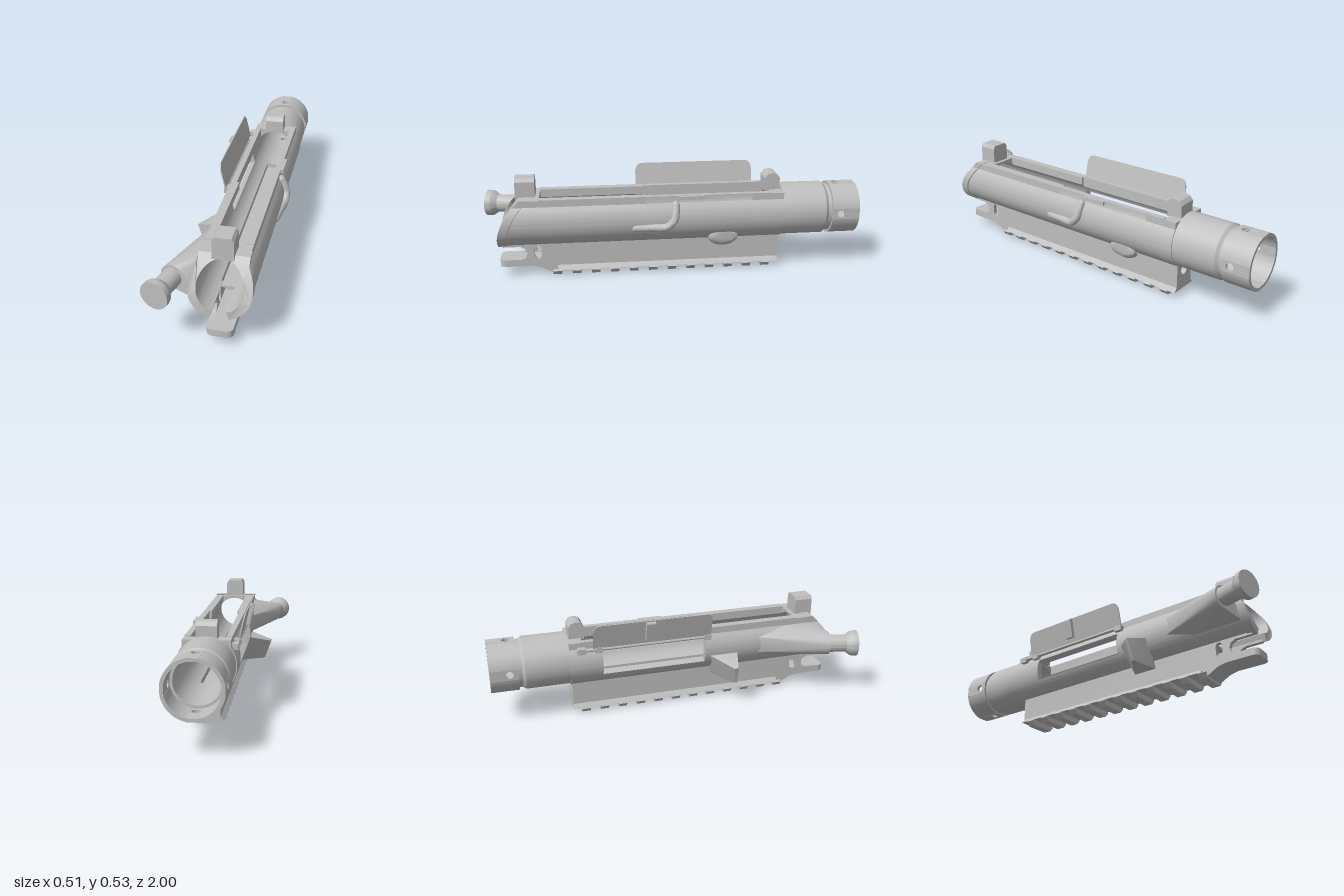
import * as THREE from 'three';
import { toCreasedNormals } from 'three/addons/utils/BufferGeometryUtils.js';
import { ConvexGeometry } from 'three/addons/geometries/ConvexGeometry.js';

const CX = 0.08, CY = 0.305;   // bore axis
const R = 0.145, r = 0.11;     // body outer and bore radius
const A = 0.653, C = 0.372;    // flange and floor groove angles
const PI = Math.PI;

const v = (x, y, z) => new THREE.Vector3(x, y, z);
const poly = (pts) => new THREE.Shape(pts.map(([x, y]) => new THREE.Vector2(x, y)));

// Extrude along z between two stations
function alongZ(shape, z0, z1) {
  const g = new THREE.ExtrudeGeometry(shape, { depth: z1 - z0, bevelEnabled: false, curveSegments: 32 });
  return g.translate(0, 0, z0);
}
// Extrude a (z, y) side profile across x
function acrossX(shape, x0, x1) {
  const g = new THREE.ExtrudeGeometry(shape, { depth: x1 - x0, bevelEnabled: false, curveSegments: 10 });
  return g.rotateY(-PI / 2).translate(x1, 0, 0);
}
// Lathe turned to lie along z
function latheZ(pts) {
  return new THREE.LatheGeometry(pts.map(([x, y]) => new THREE.Vector2(x, y)), 48).rotateX(PI / 2);
}
// Full ring with a flat top
function closedSection() {
  const s = poly([[0.115, 0.122], [-0.115, 0.122]]);
  s.absarc(0, 0, R, PI - A, 2 * PI + A, false);
  const h = new THREE.Path();
  h.absarc(0, 0, r, 0, 2 * PI, true);
  s.holes.push(h);
  return s;
}
// Flat-topped ring with a gap at the bottom
function gapSection(outer, top, half) {
  const a = Math.acos(half / outer), g = 0.3;
  const s = new THREE.Shape();
  s.absarc(0, 0, outer, g - PI / 2, a, false);
  s.lineTo(half, top);
  s.lineTo(-half, top);
  s.absarc(0, 0, outer, PI - a, 1.5 * PI - g, false);
  s.absarc(0, 0, r, 1.5 * PI - g, g - PI / 2, true);
  return s;
}
// Ring open at the top with a floor groove, optionally stopping below the side port
function openSection(half, port) {
  const b = Math.acos(half / r);
  const end = port ? PI + 0.45 : PI - A;
  const s = new THREE.Shape();
  s.moveTo(half, 0.125);
  s.lineTo(0.115, 0.125);
  s.absarc(0, 0, R, A, end, true);
  if (!port) {
    s.lineTo(-0.115, 0.125);
    s.lineTo(-half, 0.125);
  }
  s.absarc(0, 0, r, port ? end : PI - b, 1.5 * PI - C, false);
  s.lineTo(-0.04, -0.132);
  s.lineTo(0.04, -0.132);
  s.absarc(0, 0, r, 1.5 * PI + C, 2 * PI + b, false);
  return s;
}
// Slope the front end back towards the top
function slopeFront(g, zMin) {
  const p = g.attributes.position;
  for (let i = 0; i < p.count; i++) {
    const t = Math.max(0, (p.getY(i) + 0.105) / 0.23);
    if (p.getZ(i) > zMin) p.setZ(i, p.getZ(i) - 0.12 * t * t);
  }
  return g;
}

export function createModel() {
  const model = new THREE.Group();
  const metal = new THREE.MeshStandardMaterial({ color: 0xbebebe });
  metal.name = 'grey metal';
  const add = (name, geo, parent = model) => {
    const m = new THREE.Mesh(toCreasedNormals(geo, 0.6), metal);
    m.name = name;
    parent.add(m);
    return m;
  };

  // Tubular body around the bore
  const body = new THREE.Group();
  body.name = 'body';
  body.position.set(CX, CY, 0);
  model.add(body);
  add('rearBody', alongZ(closedSection(), -0.59, -0.52), body);
  add('openBodyRear', alongZ(openSection(0.085, false), -0.52, -0.42), body);
  add('openBodyPort', alongZ(openSection(0.085, true), -0.42, 0.14), body);
  add('openBodyFront', alongZ(openSection(0.072, false), 0.14, 0.68), body);
  add('frontBody', slopeFront(alongZ(gapSection(R, 0.122, 0.115), 0.68, 0.88), 0.8), body);
  add('frontRim', slopeFront(alongZ(gapSection(0.15, 0.125, 0.12), 0.855, 0.9), 0), body);
  const upper = new THREE.Shape();
  upper.moveTo(-0.085, 0.125);
  upper.lineTo(-0.115, 0.125);
  upper.absarc(0, 0, R, PI - A, PI - 0.4, false);
  upper.absarc(0, 0, r, PI - 0.4, PI - Math.acos(0.085 / r), true);
  add('portUpperEdge', alongZ(upper, -0.42, 0.14), body);

  // Round collar at the back with a groove and four drilled holes
  add('collar', latheZ([[r, -0.86], [0.127, -0.86], [0.127, -0.835], [0.14, -0.82],
    [0.14, -0.59], [r, -0.59], [r, -0.86]]), body);
  const w = PI / 15;
  for (let i = 0; i < 4; i++) {
    const arc = new THREE.Shape();
    arc.absarc(0, 0, 0.14, w, PI / 2 - w, false);
    arc.absarc(0, 0, 0.123, PI / 2 - w, w, true);
    add('collarRing', alongZ(arc, -1, -0.855), body).rotation.z = i * PI / 2;
    const hw = 0.14 * Math.sin(w);
    const plate = poly([[-1, -hw], [-0.855, -hw], [-0.855, hw], [-1, hw]]);
    const hole = new THREE.Path();
    hole.absarc(-0.9, 0, 0.02, 0, 2 * PI, true);
    plate.holes.push(hole);
    add('collarHolePlate', acrossX(plate, 0.122, 0.138), body).rotation.z = i * PI / 2;
  }

  // Keel under the body, with a long round channel
  const keel = poly([[0.015, 0.04], [0.142, 0.04], [0.142, 0.185], [0.12, 0.168], [0.04, 0.168], [0.015, 0.185]]);
  const channel = new THREE.Path();
  channel.absarc(CX, 0.133, 0.027, 0, 2 * PI, true);
  keel.holes.push(channel);
  add('keel', alongZ(keel, -0.58, 0.6));

  // Forked arm below the front opening, with a rounded tip
  const slope = [[0.59, 0.002], [0.615, 0.004], [0.64, 0.018], [0.69, 0.045], [0.73, 0.053], [0.87, 0.053], [0.87, 0.09]];
  const wall = poly([...slope, [0.79, 0.09], [0.765, 0.1], [0.755, 0.125], [0.765, 0.15], [0.79, 0.162],
    [0.88, 0.162], [0.88, 0.18], [0.59, 0.18]]);
  const slot = new THREE.Path();
  slot.absarc(0.7, 0.15, 0.018, 0, PI, false);
  slot.absarc(0.7, 0.112, 0.018, PI, 2 * PI, false);
  slot.closePath();
  wall.holes.push(slot);
  add('armWallRight', acrossX(wall, 0.015, 0.037));
  add('armWallLeft', acrossX(wall, 0.12, 0.142));
  add('armFloor', acrossX(poly([...slope, [0.59, 0.09]]), 0.037, 0.12));
  const tip = poly([[0.015, 0.87], [0.142, 0.87]]);
  tip.absarc(0.112, 0.87, 0.03, 0, PI / 2, false);
  tip.absarc(0.045, 0.87, 0.03, PI / 2, PI, false);
  add('armTip', alongZ(tip, 0, 0.037).rotateX(PI / 2).translate(0, 0.09, 0));

  // Toothed mounting rail
  add('railBase', alongZ(poly([[0.015, 0.052], [-0.003, 0.03], [0.16, 0.03], [0.142, 0.052]]), -0.58, 0.6));
  const tooth = poly([[-0.003, 0.03], [-0.007, 0.025], [0.014, 0], [0.143, 0], [0.164, 0.025], [0.16, 0.03]]);
  for (let i = 0; i < 12; i++) add('railTooth', alongZ(tooth, -0.535 + i * 0.1015, -0.49 + i * 0.1015));

  // Lugs on the top
  const frontLug = poly([[0.028, 0.41], [0.13, 0.41], [0.13, 0.508], [0.118, 0.525], [0.04, 0.525], [0.028, 0.508]]);
  add('frontLug', alongZ(frontLug, 0.7, 0.8));
  const backLug = poly([[-0.58, 0.42], [-0.5, 0.42], [-0.5, 0.49], [-0.515, 0.51], [-0.54, 0.517], [-0.565, 0.51], [-0.58, 0.49]]);
  add('backLug', acrossX(backLug, 0.03, 0.13));
  add('topTab', new THREE.BoxGeometry(0.03, 0.018, 0.13).translate(0.196, 0.42, -0.1));

  // Raised lever ridge on the left side
  const path = new THREE.CatmullRomCurve3([v(0.212, 0.268, 0.19), v(0.222, 0.27, 0.1), v(0.232, 0.275, 0.03),
    v(0.234, 0.31, -0.008), v(0.222, 0.35, -0.016), v(0.203, 0.385, -0.018)]);
  add('sideLever', new THREE.TubeGeometry(path, 32, 0.021, 12));
  for (const p of [path.getPoint(0), path.getPoint(1)]) {
    add('leverEnd', new THREE.SphereGeometry(0.021, 12, 8).translate(p.x, p.y, p.z));
  }

  // Rounded bump low on the left side: x, centre y, half height, half length
  const bump = [];
  for (const [x, y, h, l] of [[0.14, 0.155, 0.014, 0.06], [0.172, 0.19, 0.05, 0.08], [0.192, 0.197, 0.042, 0.075], [0.2, 0.2, 0.028, 0.06]]) {
    for (let i = 0; i < 24; i++) {
      const t = i * PI / 12;
      bump.push(v(x, y + h * Math.sin(t), -0.275 + l * Math.cos(t)));
    }
  }
  add('sideBump', new ConvexGeometry(bump));

  // Hinged port cover, standing open
  const cover = new THREE.Group();
  cover.name = 'portCover';
  cover.position.set(-0.055, 0.395, 0);
  cover.rotation.z = 0.23;
  model.add(cover);
  const panel = new THREE.Shape();
  panel.moveTo(-0.47, 0);
  panel.lineTo(0.17, 0);
  panel.lineTo(0.17, 0.1);
  panel.quadraticCurveTo(0.165, 0.142, 0.13, 0.142);
  panel.lineTo(-0.43, 0.142);
  panel.quadraticCurveTo(-0.465, 0.142, -0.47, 0.1);
  add('coverPanel', acrossX(panel, -0.006, 0), cover);
  add('coverLatch', new THREE.BoxGeometry(0.024, 0.1, 0.05).translate(-0.015, 0.08, -0.17), cover);
  add('latchTip', new THREE.CylinderGeometry(0.011, 0.011, 0.05, 12).rotateX(PI / 2).translate(-0.016, 0.129, -0.17), cover);
  add('hingeRod', new THREE.CylinderGeometry(0.009, 0.009, 0.73, 12).rotateX(PI / 2).translate(-0.058, 0.391, -0.19));
  for (const z of [-0.53, -0.44, 0.15]) {
    add('hingeKnuckle', new THREE.BoxGeometry(0.04, 0.03, 0.04).translate(-0.048, 0.388, z));
  }

  // Wedge behind the port
  add('deflector', new ConvexGeometry([v(-0.18, 0.24, 0.29), v(-0.175, 0.235, 0.27), v(-0.14, 0.13, 0.3),
    v(-0.13, 0.13, 0.28), v(0.02, 0.13, 0.33), v(0.02, 0.13, 0.2), v(-0.05, 0.28, 0.33), v(-0.05, 0.28, 0.16)]));

  // Slanted plunger and its housing
  const plunger = add('plunger', latheZ([[0, 0], [0.048, 0], [0.048, 0.165], [0.068, 0.193], [0.07, 0.2], [0.07, 0.227], [0, 0.227]]));
  plunger.position.set(-0.133, CY, 0.76);
  plunger.rotation.y = -0.252;
  const hull = [v(-0.035, 0.392, 0.78), v(-0.03, 0.22, 0.86), v(-0.035, 0.392, 0.6), v(-0.035, 0.22, 0.6),
    v(-0.055, 0.35, 0.44), v(-0.055, 0.26, 0.44)];
  for (let i = 0; i < 20; i++) {
    const t = i * PI / 10;
    hull.push(v(-0.148 + 0.06 * Math.cos(t), CY + 0.062 * Math.sin(t), 0.83 + 0.0155 * Math.cos(t)));
  }
  add('plungerHousing', new ConvexGeometry(hull));

  return model;
}
